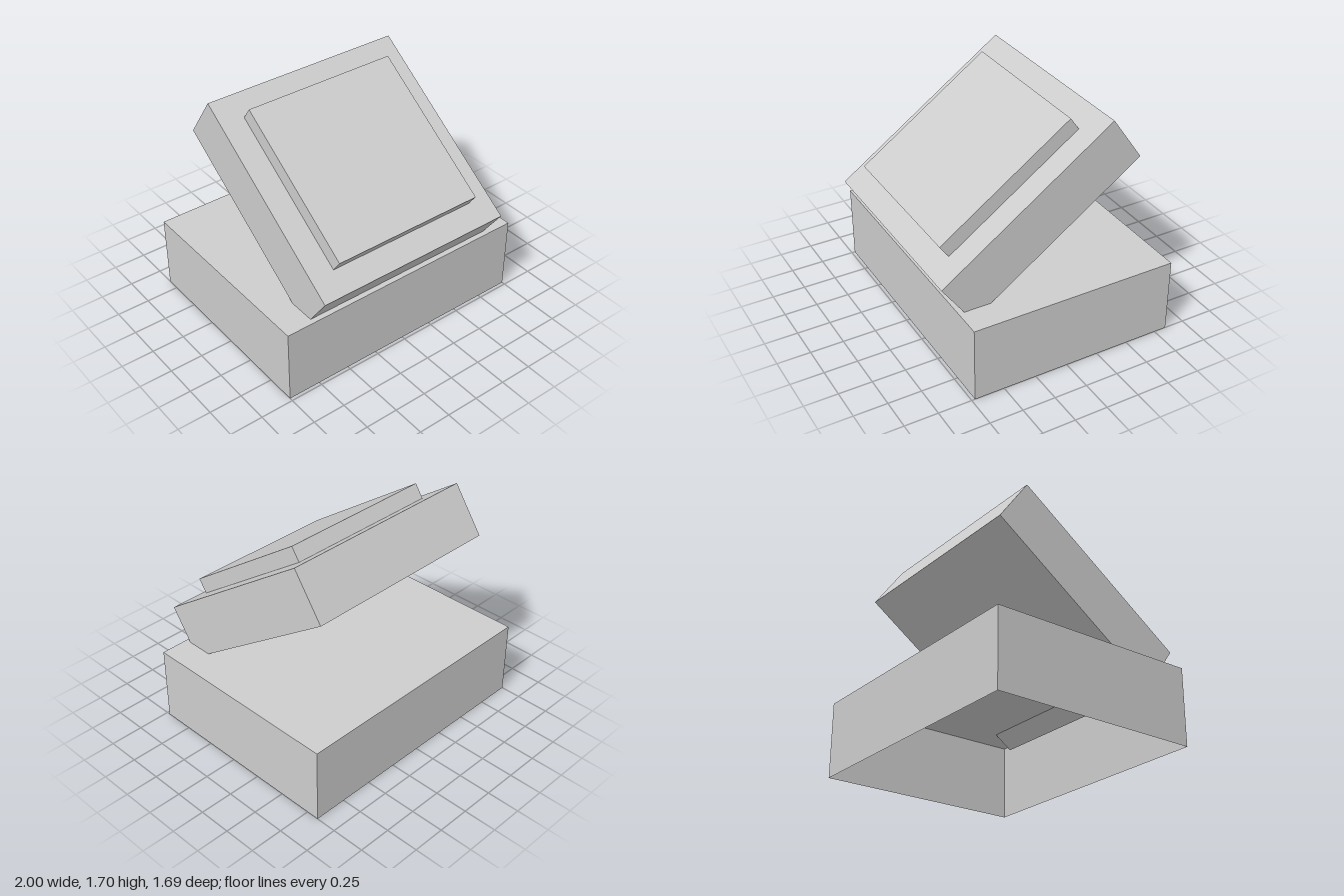
import * as THREE from 'three';

export function createModel() {
  const model = new THREE.Group();
  const grey = new THREE.MeshStandardMaterial({ color: 0xcccccc, side: THREE.DoubleSide });
  grey.name = 'light grey';

  function addBox(parent, name, size, position) {
    const mesh = new THREE.Mesh(new THREE.BoxGeometry(...size), grey);
    mesh.name = name;
    mesh.position.set(...position);
    parent.add(mesh);
    return mesh;
  }

  // Base: hollow shell, open underneath (bottom face dropped)
  const base = addBox(model, 'base', [2, 0.57, 1.57], [0, 0.285, -0.06]);
  const index = Array.from(base.geometry.index.array);
  index.splice(18, 6);
  base.geometry.setIndex(index);
  base.geometry.clearGroups();

  // Tilted head, its lower edge sunk into the base
  const head = new THREE.Group();
  head.name = 'head';
  head.position.set(0, 1.0875, 0.0875);
  head.rotation.x = THREE.MathUtils.degToRad(35);
  model.add(head);
  addBox(head, 'headBlock', [1.57, 0.4, 1.57], [0, 0, 0]);

  // Raised square panel on the face of the head
  addBox(head, 'facePanel', [1.2, 0.115, 1.2], [0, 0.2565, 0]);

  return model;
}
